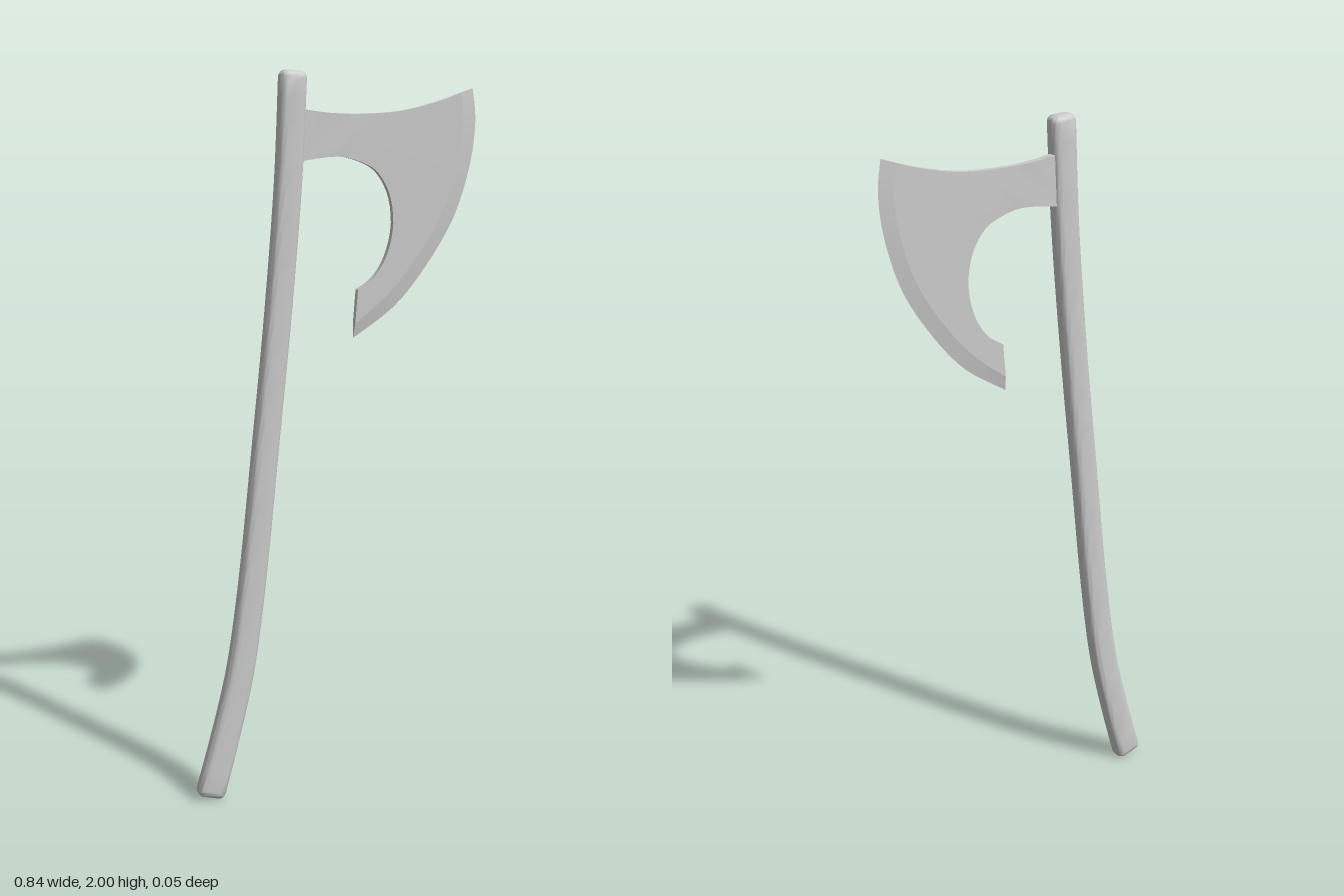
import * as THREE from 'three';
import { toCreasedNormals, mergeVertices } from 'three/addons/utils/BufferGeometryUtils.js';

const material = new THREE.MeshStandardMaterial({ color: 0xcccccc });
const BLADE_Z = -0.0065;
const BLADE_HALF = 0.0083;
const vectors = (list) => list.map(([x, y]) => new THREE.Vector2(x, y));

function indexedGeometry(positions, index) {
  const geometry = new THREE.BufferGeometry();
  geometry.setAttribute('position', new THREE.Float32BufferAttribute(positions, 3));
  geometry.setIndex(index);
  return geometry;
}

// Curved haft: a rounded rectangle swept along a spine, with rounded ends
function createHaft() {
  const spine = new THREE.CatmullRomCurve3([
    [-0.382, 0.007], [-0.338, 0.16], [-0.288, 0.36], [-0.251, 0.6], [-0.206, 1.0],
    [-0.169, 1.34], [-0.136, 1.71], [-0.121, 2.0],
  ].map(([x, y]) => new THREE.Vector3(x, y, 0)));
  const length = spine.getLength();
  const radius = 0.02, halfDepth = 0.0265, cornerSteps = 5, endSteps = 5, bodySteps = 36;

  // Stations along the spine: distance and inward shrink
  const stations = [];
  for (let i = 0; i <= endSteps; i++) {
    const a = (i / endSteps) * Math.PI / 2;
    stations.push([radius * (1 - Math.sin(a)), (radius - 0.001) * (1 - Math.cos(Math.PI / 2 - a))]);
  }
  stations.forEach((s) => { s[1] = 0; });
  for (let i = 0; i <= endSteps; i++) {
    const a = (i / endSteps) * Math.PI / 2;
    stations[i] = [radius * (1 - Math.cos(a)), (radius - 0.001) * (1 - Math.sin(a))];
  }
  const start = stations.slice();
  for (let i = 1; i < bodySteps; i++) {
    stations.push([radius + (length - 2 * radius) * i / bodySteps, 0]);
  }
  start.reverse().forEach(([d, s]) => stations.push([length - d, s]));

  const positions = [], index = [];
  const ringSize = 4 * (cornerSteps + 1);
  for (const [distance, shrink] of stations) {
    const u = THREE.MathUtils.clamp(distance / length, 0, 1);
    const p = spine.getPointAt(u), t = spine.getTangentAt(u);
    const halfWidth = 0.035 + 0.006 * (1 - u) ** 3 + 0.002 * u ** 3;
    for (let c = 0; c < 4; c++) {
      const sx = c === 0 || c === 3 ? 1 : -1, sz = c < 2 ? 1 : -1;
      for (let k = 0; k <= cornerSteps; k++) {
        const a = (c + k / cornerSteps) * Math.PI / 2;
        const across = sx * (halfWidth - radius) + (radius - shrink) * Math.cos(a);
        const depth = sz * (halfDepth - radius) + (radius - shrink) * Math.sin(a);
        positions.push(p.x + across * t.y, p.y - across * t.x, depth);
      }
    }
  }
  for (let r = 0; r < stations.length - 1; r++) {
    for (let k = 0; k < ringSize; k++) {
      const a = r * ringSize + k, b = r * ringSize + (k + 1) % ringSize;
      index.push(a, a + ringSize, b, b, a + ringSize, b + ringSize);
    }
  }
  const last = (stations.length - 1) * ringSize;
  for (let k = 1; k < ringSize - 1; k++) {
    index.push(0, k, k + 1, last, last + k + 1, last + k);
  }
  const mesh = new THREE.Mesh(toCreasedNormals(indexedGeometry(positions, index), 0.7), material);
  mesh.name = 'haft';
  return mesh;
}

// Bearded blade: flat plate plus a thin wedge along the cutting edge
function createBlade() {
  const blade = new THREE.Group();
  blade.name = 'blade';
  const steps = 24;
  const edge = new THREE.SplineCurve(vectors([
    [0.41, 1.948], [0.42, 1.86], [0.405, 1.74], [0.357, 1.597],
    [0.272, 1.464], [0.177, 1.358], [0.055, 1.278],
  ])).getPoints(steps);
  const bevel = new THREE.SplineCurve(vectors([
    [0.372, 1.935], [0.38, 1.855], [0.367, 1.752], [0.321, 1.617],
    [0.24, 1.49], [0.153, 1.392], [0.058, 1.318],
  ])).getPoints(steps);
  const topEdge = new THREE.SplineCurve(vectors([
    [-0.12, 1.907], [-0.093, 1.899], [-0.02, 1.888], [0.06, 1.884],
    [0.15, 1.886], [0.22, 1.894], [0.31, 1.915], [0.372, 1.935],
  ])).getPoints(20);
  const innerEdge = new THREE.SplineCurve(vectors([
    [0.066, 1.411], [0.114, 1.443], [0.151, 1.501], [0.17, 1.581], [0.161, 1.66],
    [0.13, 1.719], [0.087, 1.751], [0.008, 1.772], [-0.095, 1.763], [-0.13, 1.755],
  ])).getPoints(32);

  const outline = [...topEdge, ...bevel.slice(1), ...innerEdge];
  const plateGeometry = new THREE.ExtrudeGeometry(new THREE.Shape(outline), {
    depth: 2 * BLADE_HALF, bevelEnabled: false,
  });
  plateGeometry.translate(0, 0, -BLADE_HALF);
  // The plate thickens slightly where it meets the haft
  const pos = plateGeometry.attributes.position;
  for (let i = 0; i < pos.count; i++) {
    const k = THREE.MathUtils.clamp((0.02 - pos.getX(i)) / 0.04, 0, 1);
    pos.setZ(i, pos.getZ(i) * (1 + 0.25 * k));
  }
  plateGeometry.deleteAttribute('uv');
  plateGeometry.deleteAttribute('normal');
  const plate = new THREE.Mesh(toCreasedNormals(mergeVertices(plateGeometry), 0.6), material);
  plate.name = 'bladePlate';

  const positions = [], index = [];
  edge.forEach((e, i) => {
    const b = bevel[i];
    positions.push(b.x, b.y, BLADE_HALF, e.x, e.y, 0, b.x, b.y, -BLADE_HALF);
    if (i === steps) return;
    const a = 3 * i, n = a + 3;
    index.push(a, n, a + 1, a + 1, n, n + 1);
    index.push(a + 1, n + 1, a + 2, a + 2, n + 1, n + 2);
  });
  const end = 3 * steps;
  index.push(0, 1, 2, end, end + 2, end + 1);
  const wedge = new THREE.Mesh(toCreasedNormals(indexedGeometry(positions, index), 0.3), material);
  wedge.name = 'cuttingEdge';

  blade.add(plate, wedge);
  blade.position.z = BLADE_Z;
  return blade;
}

export function createModel() {
  const axe = new THREE.Group();
  axe.name = 'axe';
  axe.add(createHaft(), createBlade());
  return axe;
}
